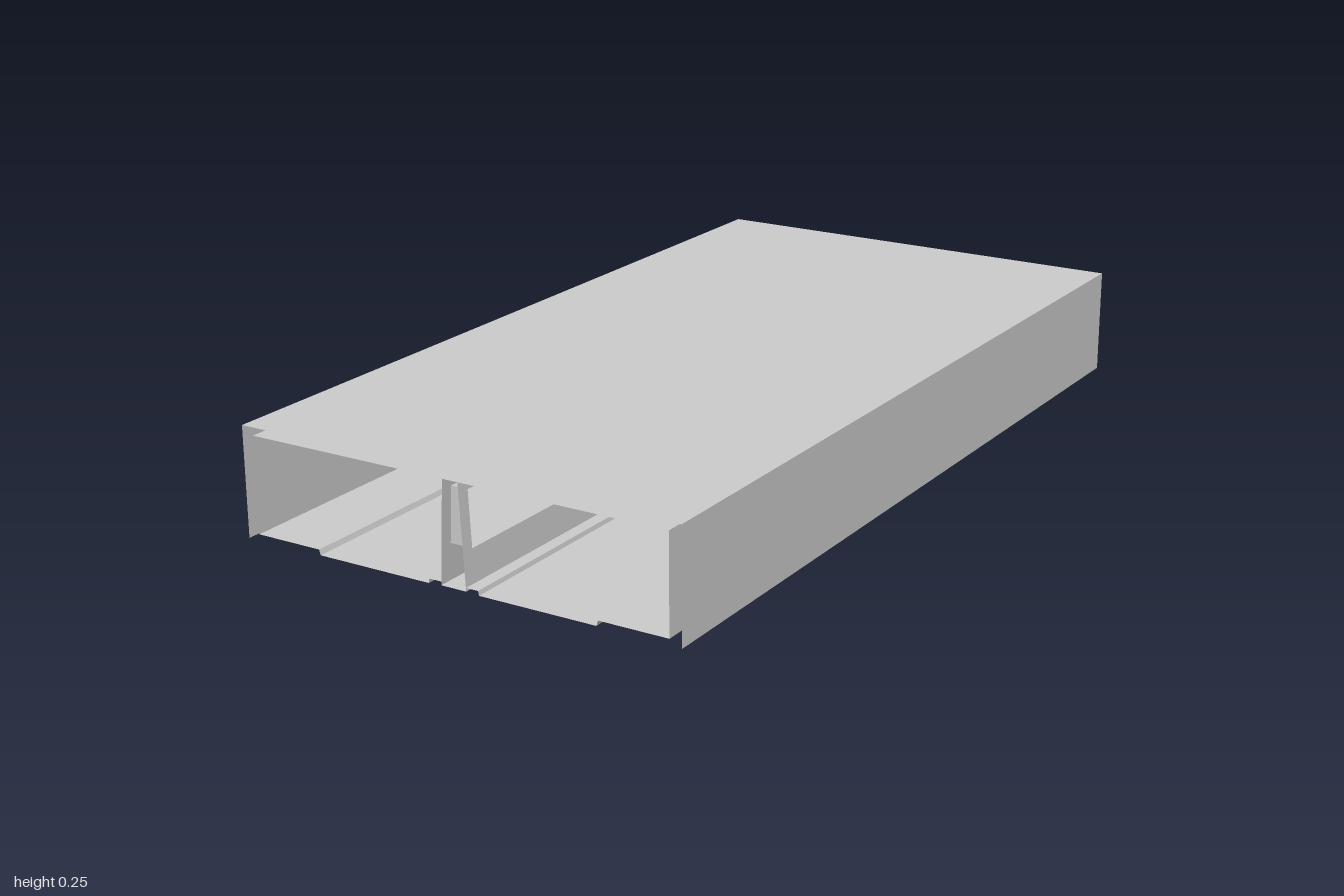
import * as THREE from 'three';

const material = new THREE.MeshStandardMaterial({
  color: 0xcccccc, side: THREE.DoubleSide, flatShading: true,
});

// Sweeps an open [x, y] polyline along z as a thin sheet with open ends.
// Points run so that the visible side lies to the left of the direction of travel.
function sheet(name, points, z0 = -1, z1 = 1) {
  const pos = [];
  for (let i = 0; i + 1 < points.length; i++) {
    const [ax, ay] = points[i], [bx, by] = points[i + 1];
    pos.push(ax, ay, z0, ax, ay, z1, bx, by, z1);
    pos.push(ax, ay, z0, bx, by, z1, bx, by, z0);
  }
  const geometry = new THREE.BufferGeometry();
  geometry.setAttribute('position', new THREE.Float32BufferAttribute(pos, 3));
  geometry.computeVertexNormals();
  const mesh = new THREE.Mesh(geometry, material);
  mesh.name = name;
  return mesh;
}

export function createModel() {
  const model = new THREE.Group();
  model.name = 'cableDuct';

  // Outer cover and its inner lining
  const W = 0.533, H = 0.25, IW = 0.505, IH = 0.232;
  model.add(sheet('outerCover', [[-W, 0], [-W, H], [W, H], [W, 0]]));
  model.add(sheet('innerLining', [[IW, 0.014], [IW, IH], [-IW, IH], [-IW, 0.014]]));

  // Stepped base on each side of the central divider
  const half = (y) => 0.031 - 0.0525 * y;
  const foot = 0.004;
  const base = [[0.031, 0.012], [0.06, 0.012], [0.062, 0.002], [0.34, 0.002], [0.344, 0.014], [IW, 0.014]];
  model.add(sheet('leftBase', base));
  model.add(sheet('rightBase', base.map(([x, y]) => [-x, y]).reverse()));

  // Hollow tapered divider: lower rail, upper rail and an end post at each end
  const low = 0.085, high = 0.208, post = 0.97;
  model.add(sheet('dividerLowerRail', [
    [half(foot), foot], [-half(foot), foot], [-half(low), low], [half(low), low], [half(foot), foot],
  ], -post, post));
  model.add(sheet('dividerUpperRail', [
    [half(IH), IH], [half(high), high], [-half(high), high], [-half(IH), IH],
  ].reverse(), -post, post));

  const face = new THREE.Shape([
    new THREE.Vector2(-half(low), low), new THREE.Vector2(half(low), low),
    new THREE.Vector2(half(high), high), new THREE.Vector2(-half(high), high),
  ]);
  for (const s of [-1, 1]) {
    const z0 = s < 0 ? -1 : post, z1 = s < 0 ? -post : 1;
    const end = new THREE.Group();
    end.name = s < 0 ? 'backPost' : 'frontPost';
    end.add(sheet('postWalls', [
      [half(IH), IH], [half(foot), foot], [-half(foot), foot], [-half(IH), IH],
    ].reverse(), z0, z1));
    // Closing face on the window side of the post
    const cap = new THREE.Mesh(new THREE.ShapeGeometry(face), material);
    cap.name = 'postFace';
    cap.position.z = s * post;
    if (s > 0) cap.rotation.y = Math.PI;
    end.add(cap);
    model.add(end);
  }
  return model;
}
